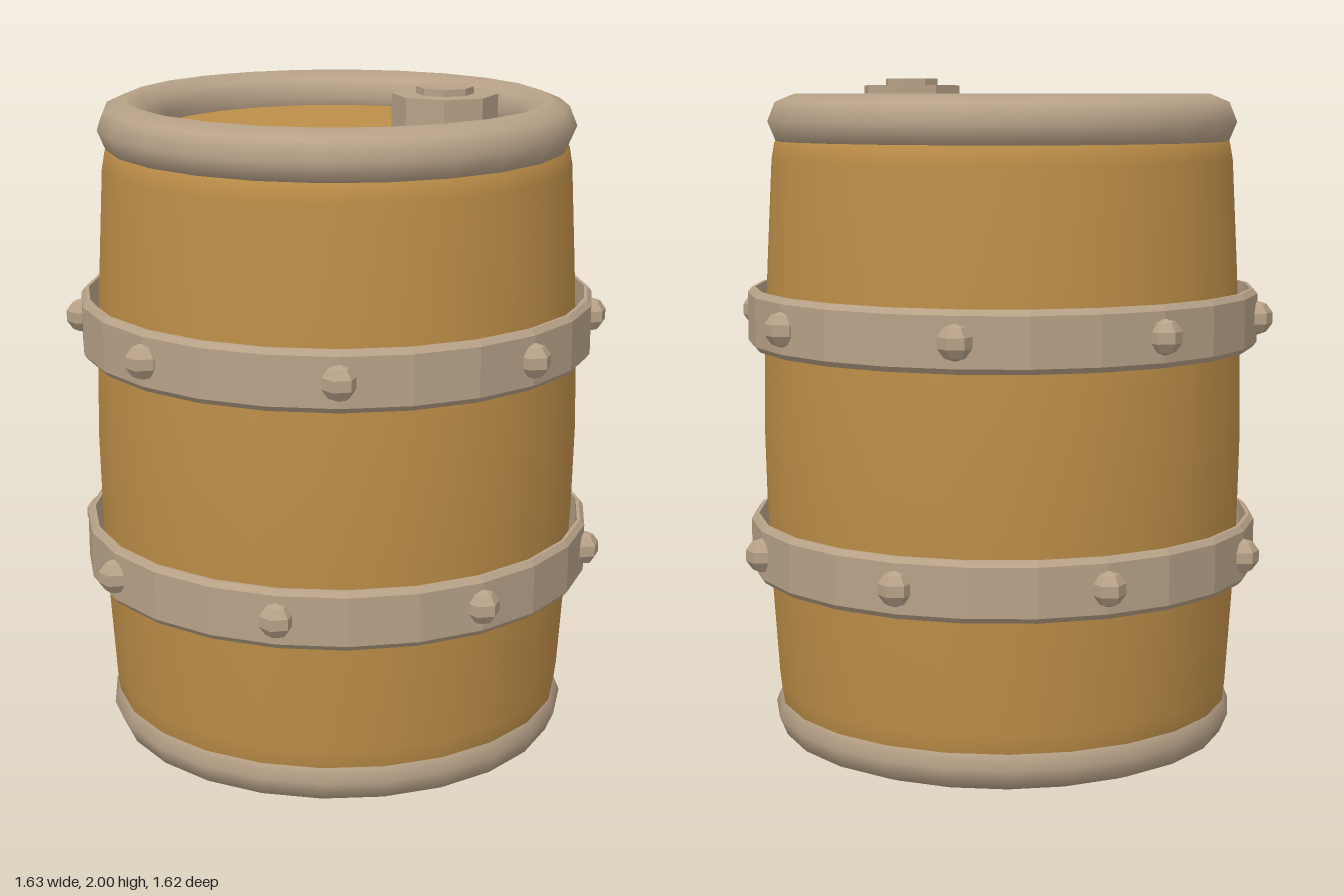
import * as THREE from 'three';

export function createModel() {
  const model = new THREE.Group();
  model.name = 'barrel';

  const wood = new THREE.MeshStandardMaterial({ color: 0xbd8e48 });
  wood.name = 'wood';
  const metal = new THREE.MeshStandardMaterial({ color: 0xb8a288 });
  metal.name = 'metal';

  const SIDES = 24;

  function add(parent, name, geometry, material, x = 0, y = 0, z = 0) {
    const mesh = new THREE.Mesh(geometry, material);
    mesh.name = name;
    mesh.position.set(x, y, z);
    parent.add(mesh);
    return mesh;
  }

  // Faceted normals for the low-poly hardware
  function faceted(geometry) {
    const flat = geometry.toNonIndexed();
    flat.computeVertexNormals();
    return flat;
  }

  function lathe(points) {
    return new THREE.LatheGeometry(points.map(([r, y]) => new THREE.Vector2(r, y)), SIDES);
  }

  // Bulging wooden wall
  add(model, 'barrelWall', lathe([
    [0.66, 0.05], [0.686, 0.1], [0.695, 0.18], [0.712, 0.45], [0.724, 0.7], [0.729, 0.95],
    [0.724, 1.2], [0.712, 1.45], [0.695, 1.76], [0.686, 1.81], [0.66, 1.85],
  ]), wood);

  // Recessed lid and base
  const disc = new THREE.CircleGeometry(0.66, SIDES);
  add(model, 'lid', disc, wood, 0, 1.85, 0).rotation.x = -Math.PI / 2;
  add(model, 'base', disc, wood, 0, 0.05, 0).rotation.x = Math.PI / 2;

  // Rounded rims at both ends
  const rim = new THREE.TorusGeometry(0.625, 0.081, 8, SIDES).rotateX(Math.PI / 2);
  add(model, 'topRim', rim, metal, 0, 1.873, 0);
  add(model, 'bottomRim', rim, metal, 0, 0.081, 0);

  // Thin hoops standing slightly off the wall, each with eight bolts
  const hoop = faceted(lathe([
    [0.747, -0.088], [0.757, -0.088], [0.77, -0.072], [0.77, 0.072],
    [0.757, 0.088], [0.747, 0.088], [0.747, -0.088],
  ]));
  const bolt = faceted(new THREE.SphereGeometry(0.052, 6, 5));

  function addHoop(name, y, turnDegrees) {
    const group = new THREE.Group();
    group.name = name;
    group.position.y = y;
    model.add(group);
    const turn = THREE.MathUtils.degToRad(turnDegrees);
    add(group, 'hoop', hoop, metal).rotation.y = turn;
    for (let i = 0; i < 8; i++) {
      const a = turn + i * Math.PI / 4;
      add(group, 'bolt', bolt, metal, 0.767 * Math.sin(a), 0, 0.767 * Math.cos(a));
    }
  }
  addHoop('upperHoop', 1.293, 4.1);
  addHoop('lowerHoop', 0.605, -9);

  // Octagonal stopper with a small raised cap
  const stopper = new THREE.Group();
  stopper.name = 'stopper';
  stopper.position.set(0.31, 0, -0.14);
  model.add(stopper);
  add(stopper, 'stopperBody', faceted(new THREE.CylinderGeometry(0.153, 0.153, 0.14, 8)), metal, 0, 1.91, 0);
  add(stopper, 'stopperCap', faceted(new THREE.CylinderGeometry(0.083, 0.083, 0.03, 8)), metal, 0, 1.985, 0);

  return model;
}
